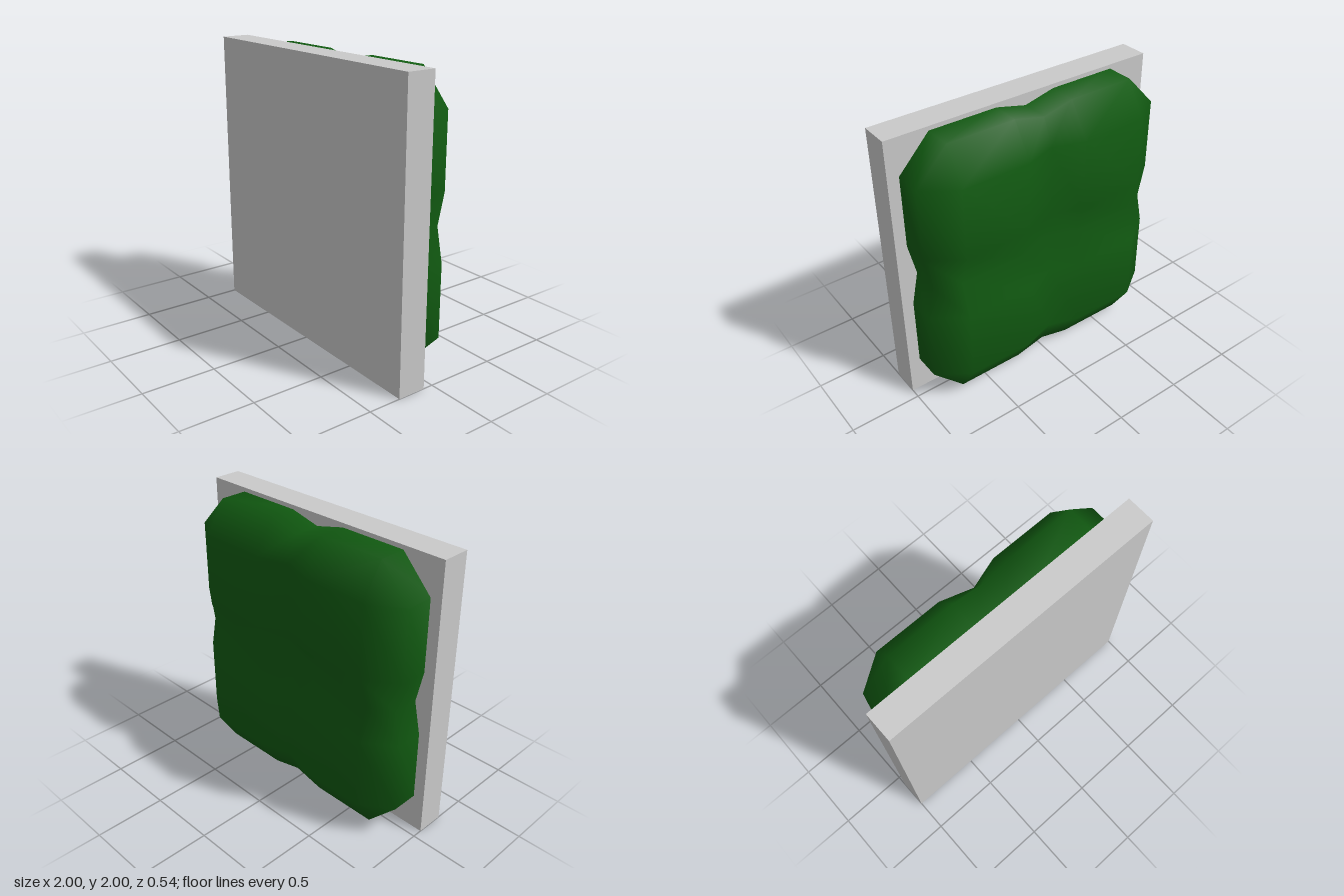
import * as THREE from 'three';
import { mergeVertices } from 'three/addons/utils/BufferGeometryUtils.js';

// Puffy pad made of four lobes, with a cross-shaped groove on its back
function padGeometry() {
  const steps = [-0.7, -0.22, 0, 0.22, 0.7];
  const edge = 0.92, rimZ = -0.12, baseZ = 0.09;
  const positions = [];

  const quad = (a, b, c, d) => positions.push(...a, ...b, ...c, ...a, ...c, ...d);
  const top = (x, y) => [x, y, -0.27 + (x === 0 ? 0.07 : 0) + (y === 0 ? 0.07 : 0)];
  const rim = (v, z) => [v === 0 ? edge - 0.05 : edge, v, z];

  // Lobed face
  for (let i = 0; i < 4; i++) {
    for (let j = 0; j < 4; j++) {
      const [x0, x1, y0, y1] = [steps[i], steps[i + 1], steps[j], steps[j + 1]];
      quad(top(x0, y0), top(x0, y1), top(x1, y1), top(x1, y0));
    }
  }

  // Sloped border, side wall and cut corner, turned to all four sides
  for (let k = 0; k < 4; k++) {
    const turn = ([x, y, z]) => {
      for (let n = 0; n < k; n++) [x, y] = [-y, x];
      return [x, y, z];
    };
    const side = (...corners) => quad(...corners.map(turn));
    for (let j = 0; j < 4; j++) {
      const v0 = steps[j], v1 = steps[j + 1];
      side(top(0.7, v0), top(0.7, v1), rim(v1, rimZ), rim(v0, rimZ));
      side(rim(v0, rimZ), rim(v1, rimZ), rim(v1, baseZ), rim(v0, baseZ));
    }
    const corner = [top(0.7, 0.7), [0.7, edge, rimZ], [edge, 0.7, rimZ]];
    positions.push(...corner.map(turn).flat());
    side([edge, 0.7, rimZ], [0.7, edge, rimZ], [0.7, edge, baseZ], [edge, 0.7, baseZ]);
  }

  const soup = new THREE.BufferGeometry();
  soup.setAttribute('position', new THREE.Float32BufferAttribute(positions, 3));
  soup.scale(1, 1.055, 1);
  const geometry = mergeVertices(soup, 1e-4);
  geometry.computeVertexNormals();
  return geometry;
}

export function createModel() {
  const group = new THREE.Group();
  group.name = 'paddedPanel';

  const grey = new THREE.MeshStandardMaterial({ color: 0xcacaca });
  grey.name = 'light grey';
  const green = new THREE.MeshStandardMaterial({ color: 0x115a11 });
  green.name = 'dark green';

  // Flat square slab at the front
  const slab = new THREE.Mesh(new THREE.BoxGeometry(2, 2, 0.2), grey);
  slab.name = 'slab';
  slab.position.set(0, 1, 0.17);

  // Pad on the back of the slab
  const pad = new THREE.Mesh(padGeometry(), green);
  pad.name = 'pad';
  pad.position.y = 1;

  group.add(slab, pad);
  return group;
}
